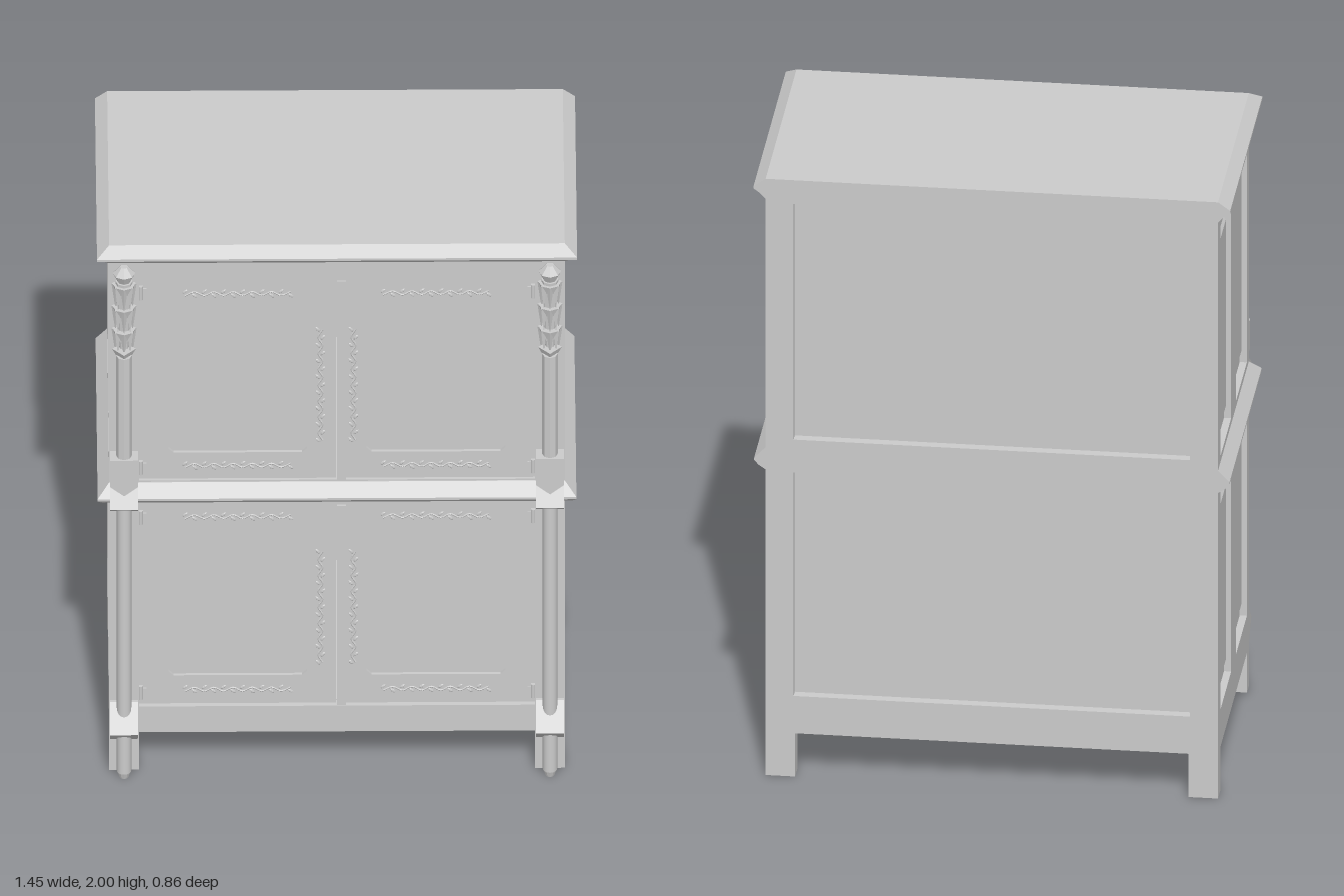
import * as THREE from 'three';

const W = 0.69, FRONT = 0.345, BACK = -0.43;
const mat = new THREE.MeshStandardMaterial({ color: 0xcccccc, flatShading: true });
const smooth = new THREE.MeshStandardMaterial({ color: 0xcccccc });

function add(parent, name, geo, x = 0, y = 0, z = 0, m = mat) {
  const mesh = new THREE.Mesh(geo, m);
  mesh.name = name;
  mesh.position.set(x, y, z);
  parent.add(mesh);
  return mesh;
}

// Box given by its limits
function box(parent, name, x0, x1, y0, y1, z0, z1) {
  return add(parent, name, new THREE.BoxGeometry(x1 - x0, y1 - y0, z1 - z0),
    (x0 + x1) / 2, (y0 + y1) / 2, (z0 + z1) / 2);
}

const poly = (pts) => pts.map(([x, y]) => new THREE.Vector2(x, y));

// Rectangle outline, optionally with cut corners
function rect(x0, x1, y0, y1, c = 0) {
  if (!c) return poly([[x0, y0], [x1, y0], [x1, y1], [x0, y1]]);
  return poly([[x0 + c, y0], [x1 - c, y0], [x1, y0 + c], [x1, y1 - c],
    [x1 - c, y1], [x0 + c, y1], [x0, y1 - c], [x0, y0 + c]]);
}

// Flat board with openings
function board(outline, holes, depth) {
  const shape = new THREE.Shape(outline);
  holes.forEach((h) => shape.holes.push(new THREE.Path(h)));
  return new THREE.ExtrudeGeometry(shape, { depth, bevelEnabled: false });
}

// Moulding: stacked tapering slabs, flush at the back; profile = [overhang, y]
function moulding(parent, name, profile) {
  const g = new THREE.Group();
  g.name = name;
  for (let i = 0; i + 1 < profile.length; i++) {
    const geo = new THREE.BoxGeometry(1, 1, 1), p = geo.attributes.position;
    for (let k = 0; k < p.count; k++) {
      const [o, y] = profile[p.getY(k) > 0 ? i + 1 : i];
      p.setXYZ(k, Math.sign(p.getX(k)) * (W + o), y, p.getZ(k) > 0 ? FRONT + o : BACK);
    }
    geo.computeVertexNormals();
    add(g, name + 'Layer', geo);
  }
  parent.add(g);
}

// Low-relief vine with leaves along x, centred on the origin
function carving(length, width) {
  const g = new THREE.Group();
  g.name = 'carvedVine';
  const pts = [], n = Math.round(length / 0.03);
  for (let i = 0; i <= n; i++) {
    pts.push(new THREE.Vector3((i / n - 0.5) * length, (i % 2 ? 1 : -1) * width * 0.2, 0));
  }
  add(g, 'stem', new THREE.TubeGeometry(new THREE.CatmullRomCurve3(pts), n * 4, 0.003, 5));
  const leaf = new THREE.SphereGeometry(1, 6, 4);
  pts.forEach((p, i) => {
    const side = i % 2 ? -1 : 1;
    const l = add(g, 'leaf', leaf, p.x, side * width * 0.22, 0);
    l.scale.set(0.011, 0.005, 0.003);
    l.rotation.z = side * 0.7;
  });
  return g;
}

function createDoors(parent, y0, y1, p0, p1) {
  for (const s of [-1, 1]) {
    const door = new THREE.Group();
    door.name = s > 0 ? 'leftDoor' : 'rightDoor';
    const xs = (a, b) => (s > 0 ? [a, b] : [-b, -a]);
    const [a, b] = xs(0.002, 0.6), [c, d] = xs(0.09, 0.51);
    add(door, 'doorFrame', board(rect(a, b, y0, y1), [rect(c, d, p0, p1, 0.015)], 0.03), 0, 0, 0.305);
    box(door, 'doorPanel', c - 0.02, d + 0.02, p0 - 0.02, p1 + 0.02, 0.30, 0.325);
    // carved ornament beside, above and below the panel
    const v = carving(0.42, 0.035);
    v.rotation.z = Math.PI / 2;
    v.position.set(s * 0.05, (p0 + p1) / 2 - 0.02, 0.335);
    door.add(v);
    for (const y of [(p0 + y0) / 2, (p1 + y1) / 2]) {
      const h = carving(0.32, 0.035);
      h.position.set(s * 0.3, y, 0.335);
      door.add(h);
    }
    // hinges
    for (const y of [y0 + 0.045, y1 - 0.045]) {
      add(door, 'hinge', new THREE.CylinderGeometry(0.007, 0.007, 0.05, 8), s * 0.594, y, 0.339, smooth);
      box(door, 'hingeLeaf', s * 0.585 - 0.008, s * 0.585 + 0.008, y - 0.015, y + 0.015, 0.33, 0.339);
    }
    parent.add(door);
  }
  box(parent, 'meetingStrip', 0, 0.027, y0, y1, 0.32, 0.347);
}

// Wedge-shaped bracket projecting forward from a post
function wedge(parent, y0, yTip, y1) {
  const geo = board(poly([[0.30, y0], [0.355, y0], [0.43, yTip], [0.355, y1], [0.30, y1]]), [], 0.085);
  geo.rotateY(-Math.PI / 2);
  add(parent, 'wedgeBlock', geo, 0.0425);
}

function createPost(s) {
  const g = new THREE.Group();
  g.name = s > 0 ? 'leftPost' : 'rightPost';
  g.position.x = s * 0.645;
  box(g, 'postBack', -0.045, 0.045, 0.01, 1.94, 0.30, FRONT);
  const column = (name, r0, r1, y0, y1, n, m, z = 0.368) =>
    add(g, name, new THREE.CylinderGeometry(r1, r0, y1 - y0, n), 0, (y0 + y1) / 2, z, m);
  // foot, lower column and brackets
  column('footTip', 0.014, 0.022, 0, 0.025, 12, mat, 0.364);
  column('foot', 0.022, 0.022, 0.025, 0.2, 16, smooth);
  wedge(g, 0.135, 0.205, 0.275);
  column('lowerColumn', 0.022, 0.022, 0.23, 1.04, 16, smooth);
  wedge(g, 1.0, 1.06, 1.11);
  // upper pedestal and faceted shaft
  const pedestal = board(poly([[0, 1.085], [0.0425, 1.12], [0.0425, 1.22], [-0.0425, 1.22], [-0.0425, 1.12]]), [], 0.055);
  add(g, 'pedestal', pedestal, 0, 0, 0.34);
  column('upperShaft', 0.024, 0.024, 1.2, 1.6, 8, mat);
  // tiered leaf ornament
  column('ornamentCap', 0.02, 0.034, 1.87, 1.9, 8, mat, 0.352);
  column('ornamentFinial', 0.034, 0.012, 1.9, 1.925, 8, mat, 0.352);
  column('ornamentCore', 0.014, 0.026, 1.6, 1.87, 8, mat, 0.352);
  for (let t = 0; t < 3; t++) {
    const yTop = 1.86 - t * 0.085;
    for (let i = -2; i <= 2; i++) {
      const a = i * Math.PI / 4, r = 0.026;
      const petal = add(g, 'petal', new THREE.ConeGeometry(0.012, 0.095, 4),
        Math.sin(a) * r, yTop - 0.048, 0.35 + Math.cos(a) * r);
      petal.rotation.set(Math.PI, -a, 0);
    }
    column('petalRing', 0.026, 0.035, yTop - 0.03, yTop, 8, mat, 0.352);
  }
  column('pendantTip', 0.002, 0.036, 1.55, 1.62, 4, mat, 0.362);
  return g;
}

// Side wall with four framed raised panels
function createSide(s) {
  const g = new THREE.Group();
  g.name = s > 0 ? 'leftSide' : 'rightSide';
  const cols = [[0.015, 0.295], [-0.375, -0.10]], rows = [[0.27, 1.0], [1.12, 1.89]];
  const holes = [];
  for (const [z0, z1] of cols) for (const [y0, y1] of rows) {
    holes.push(rect(z0, z1, y0, y1));
    const w = z1 - z0 - 0.11, h = y1 - y0 - 0.115;
    const field = new THREE.ExtrudeGeometry(new THREE.Shape(rect(-w / 2, w / 2, -h / 2, h / 2)),
      { depth: 0.002, bevelSize: 0.015, bevelOffset: -0.015, bevelThickness: 0.012, bevelSegments: 1 });
    const m = add(g, 'raisedField', field, s * 0.668, (y0 + y1) / 2, (z0 + z1) / 2);
    m.rotation.y = s * Math.PI / 2;
  }
  const frame = board(rect(BACK, FRONT, 0.145, 1.94), holes, 0.03);
  frame.rotateY(-Math.PI / 2);
  add(g, 'sideFrame', frame, s > 0 ? W : -W + 0.03);
  box(g, 'sidePanel', s * 0.655 - 0.013, s * 0.655 + 0.013, 0.25, 1.91, -0.40, 0.31);
  box(g, 'backLeg', s * 0.645 - 0.045, s * 0.645 + 0.045, 0, 0.25, BACK, -0.375);
  return g;
}

export function createModel() {
  const model = new THREE.Group();
  model.name = 'cabinet';
  for (const s of [-1, 1]) model.add(createSide(s), createPost(s));

  // back frame with two sunk panels
  add(model, 'backFrame', board(rect(-W, W, 0.145, 1.94),
    [rect(-0.605, 0.605, 0.27, 1.02), rect(-0.605, 0.605, 1.13, 1.92)], 0.03), 0, 0, BACK);
  box(model, 'backPanel', -0.66, 0.66, 0.25, 1.935, -0.40, -0.38);

  // floor, front rails and mouldings
  box(model, 'floor', -0.66, 0.66, 0.235, 0.255, -0.40, 0.32);
  box(model, 'frontSkirt', -0.60, 0.60, 0.15, 0.235, 0.305, 0.342);
  box(model, 'bottomLip', -0.60, 0.60, 0.235, 0.252, 0.305, 0.348);
  box(model, 'middleRail', -0.60, 0.60, 1.01, 1.105, 0.305, 0.342);
  box(model, 'topRail', -0.60, 0.60, 1.862, 1.94, 0.305, FRONT);
  moulding(model, 'waistMoulding', [[0, 1.025], [0.022, 1.04], [0.035, 1.055], [0.035, 1.063], [0, 1.1]]);
  moulding(model, 'cornice', [[0, 1.932], [0.012, 1.945], [0.018, 1.952], [0.037, 1.965], [0.037, 1.973], [0, 2.0]]);

  createDoors(model, 1.107, 1.86, 1.205, 1.755);
  createDoors(model, 0.254, 1.008, 0.36, 0.915);
  // centre the depth, which runs from the back to the bracket tips
  return model;
}
